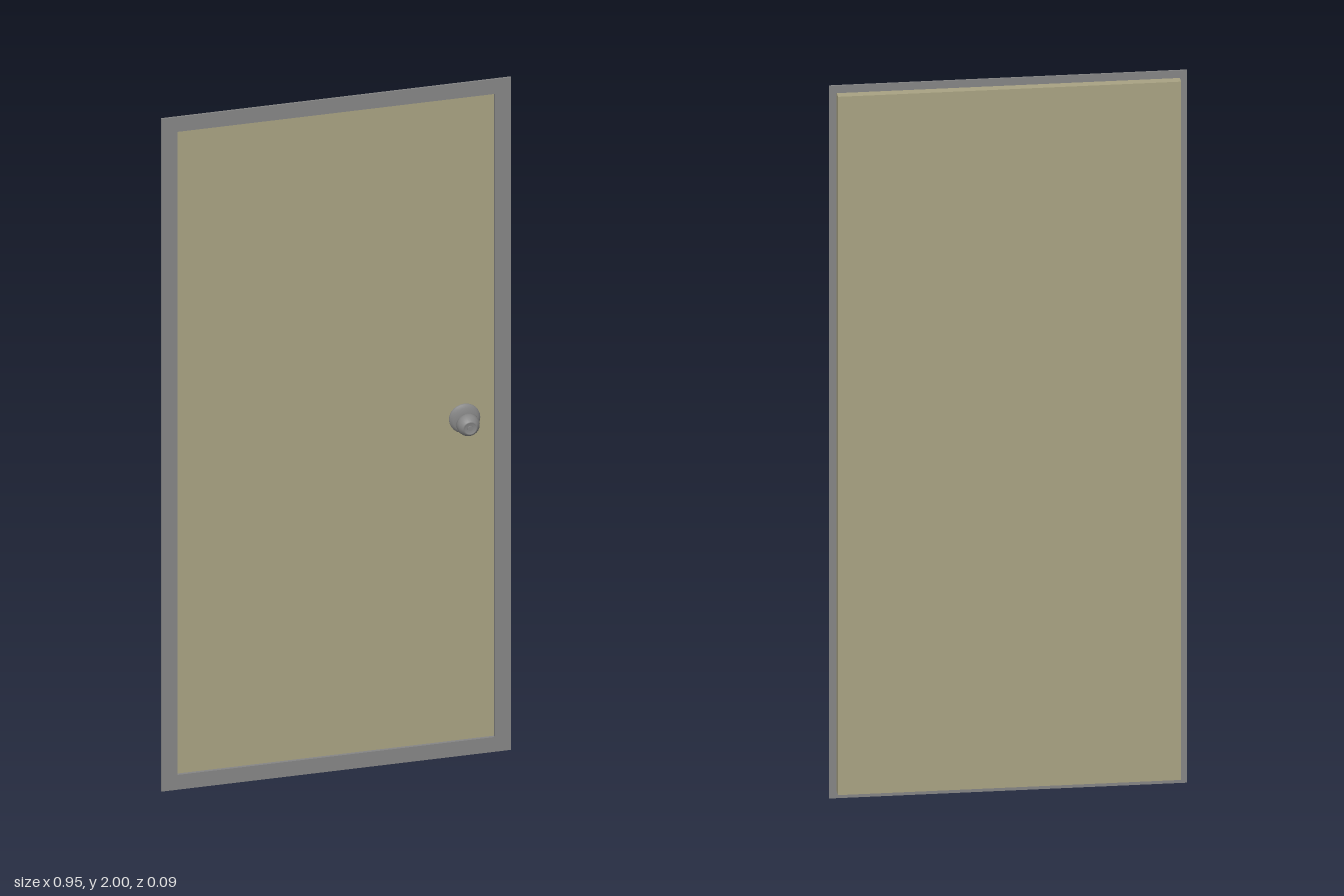
import * as THREE from 'three';

const paint = new THREE.MeshStandardMaterial({ color: 0xa8a282 });
paint.name = 'olive paint';
const steel = new THREE.MeshStandardMaterial({ color: 0x858585 });
steel.name = 'grey steel';

function part(name, geometry, material, x = 0, y = 0, z = 0) {
  const mesh = new THREE.Mesh(geometry, material);
  mesh.name = name;
  mesh.position.set(x, y, z);
  return mesh;
}

// Rectangular ring, centred on x and y, running from z = 0 to depth
function ring(outerW, outerH, innerW, innerH, depth) {
  const rect = (path, w, h) => {
    path.moveTo(-w / 2, -h / 2);
    path.lineTo(w / 2, -h / 2);
    path.lineTo(w / 2, h / 2);
    path.lineTo(-w / 2, h / 2);
    path.closePath();
    return path;
  };
  const shape = rect(new THREE.Shape(), outerW, outerH);
  shape.holes.push(rect(new THREE.Path(), innerW, innerH));
  return new THREE.ExtrudeGeometry(shape, { depth, bevelEnabled: false });
}

// Round part turned about the z axis from [radius, z] pairs
function turned(name, profile) {
  const points = profile.map(([r, z]) => new THREE.Vector2(r, z));
  const geometry = new THREE.LatheGeometry(points, 24);
  geometry.rotateX(Math.PI / 2);
  return part(name, geometry, steel);
}

export function createModel() {
  const door = new THREE.Group();
  door.name = 'door';

  // Door slab
  door.add(part('leaf', new THREE.BoxGeometry(0.91, 1.96, 0.028), paint, 0, 1, -0.034));

  // Thin flange overlapping the slab, with a slim stop behind it
  const frame = new THREE.Group();
  frame.name = 'frame';
  frame.add(part('flange', ring(0.95, 2, 0.862, 1.912, 0.005), steel, 0, 1, -0.017));
  frame.add(part('stop', ring(0.9, 1.95, 0.862, 1.912, 0.004), steel, 0, 1, -0.021));
  door.add(frame);

  // Knob on a round rose
  const knob = new THREE.Group();
  knob.name = 'knob';
  knob.position.set(0.35, 1, 0);
  knob.add(turned('rose', [[0.042, -0.02], [0.042, -0.014], [0.034, -0.008], [0.018, -0.006]]));
  knob.add(turned('neck', [[0.019, -0.008], [0.017, -0.002], [0.02, 0.003]]));
  knob.add(turned('grip', [
    [0.018, 0.001], [0.026, 0.007], [0.0305, 0.015], [0.031, 0.023],
    [0.028, 0.033], [0.02, 0.044], [0.016, 0.045], [0.014, 0.042], [0, 0.042],
  ]));
  // Lock cylinder in the recessed knob face
  const lock = new THREE.CylinderGeometry(0.007, 0.007, 0.004, 16);
  lock.rotateX(Math.PI / 2);
  knob.add(part('lockCylinder', lock, steel, 0, 0, 0.043));
  door.add(knob);

  return door;
}
